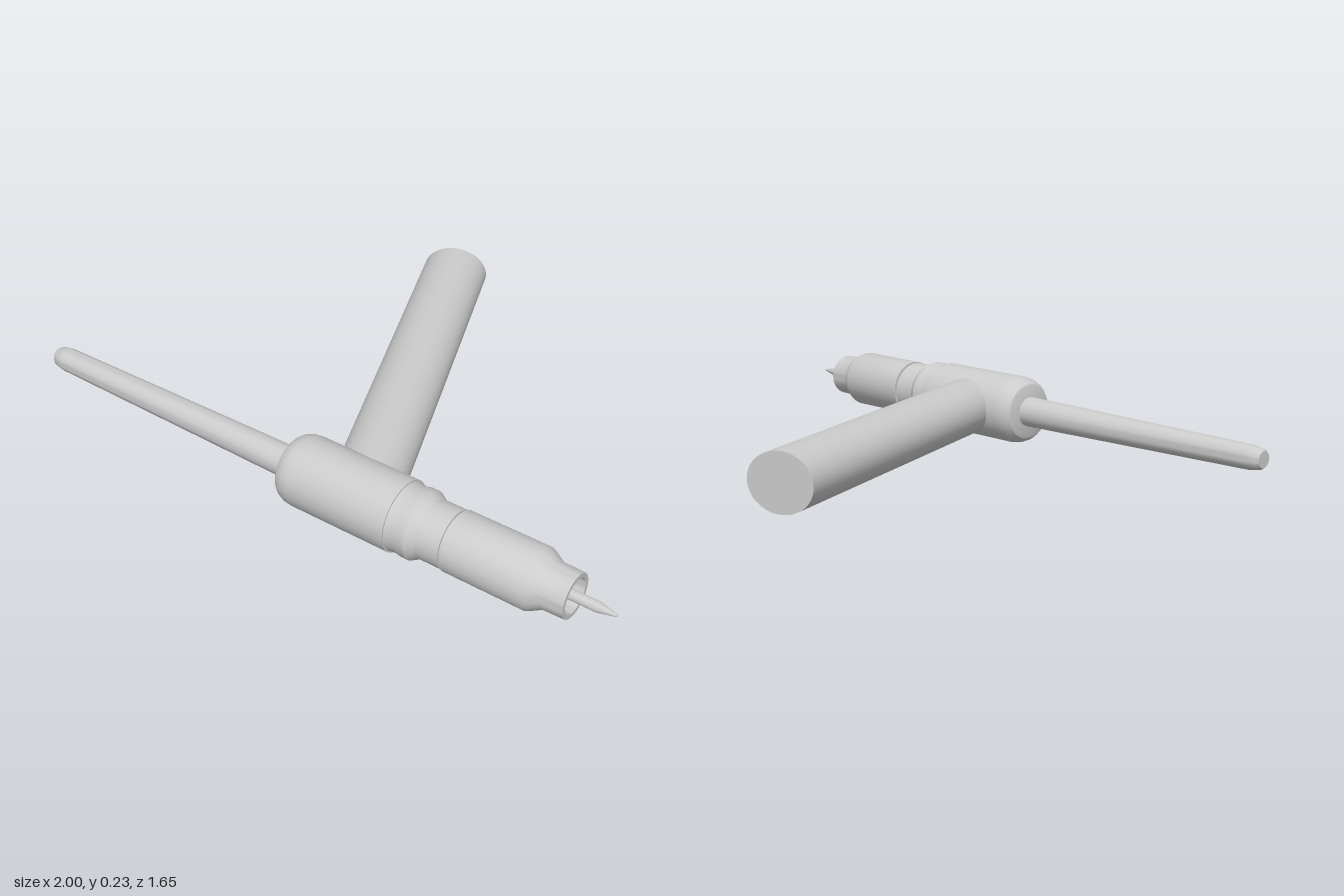
import * as THREE from 'three';
import { toCreasedNormals } from 'three/addons/utils/BufferGeometryUtils.js';

const material = new THREE.MeshStandardMaterial({ color: 0xcccccc, side: THREE.DoubleSide });

// Turned part from [radius, distance along the axis] pairs
function turned(name, profile, segments = 48) {
  const points = profile.map(([r, s]) => new THREE.Vector2(r, s));
  const geometry = toCreasedNormals(new THREE.LatheGeometry(points, segments), 0.5);
  const mesh = new THREE.Mesh(geometry, material);
  mesh.name = name;
  return mesh;
}

export function createModel() {
  const model = new THREE.Group();
  model.name = 'weldingTorch';

  // Torch head: everything turned about one slanted axis, from tail to tip
  const head = new THREE.Group();
  head.name = 'torchHead';
  head.position.set(-0.985, 0.118, 0.05);
  head.rotation.set(0, -0.361, -Math.PI / 2);
  model.add(head);

  head.add(turned('backCap', [
    [0, 0], [0.027, 0], [0.033, 0.008], [0.04, 0.045], [0.052, 1.0],
  ], 32));

  head.add(turned('body', [
    [0, 0.994], [0.085, 0.994], [0.096, 0.998], [0.106, 1.01], [0.114, 1.03],
    [0.117, 1.055], [0.117, 1.41], [0.1, 1.41],
  ]));

  head.add(turned('insulatorCollar', [
    [0.09, 1.405], [0.112, 1.41], [0.108, 1.437], [0.112, 1.455], [0.112, 1.48],
    [0.095, 1.508], [0.095, 1.588], [0.088, 1.588], [0.088, 1.6],
  ]));

  // Hollow gas cup with a visible bore
  head.add(turned('gasCup', [
    [0.085, 1.596], [0.098, 1.596], [0.099, 1.868], [0.095, 1.878], [0.074, 1.915],
    [0.072, 1.989], [0.058, 1.989], [0.058, 1.85], [0, 1.85],
  ]));

  head.add(turned('collet', [
    [0.034, 1.85], [0.034, 1.89], [0.026, 1.91], [0, 1.91],
  ], 24));

  head.add(turned('electrode', [
    [0.017, 1.85], [0.017, 2.06], [0.004, 2.121], [0, 2.122],
  ], 20));

  // Oval handle running straight back from the body
  const handle = new THREE.Mesh(new THREE.CylinderGeometry(1, 1, 1.28, 64), material);
  handle.name = 'handle';
  handle.rotation.x = Math.PI / 2;
  handle.scale.set(0.113, 1, 0.095);
  handle.position.set(0.19, 0.116, -0.19);
  model.add(handle);

  return model;
}
